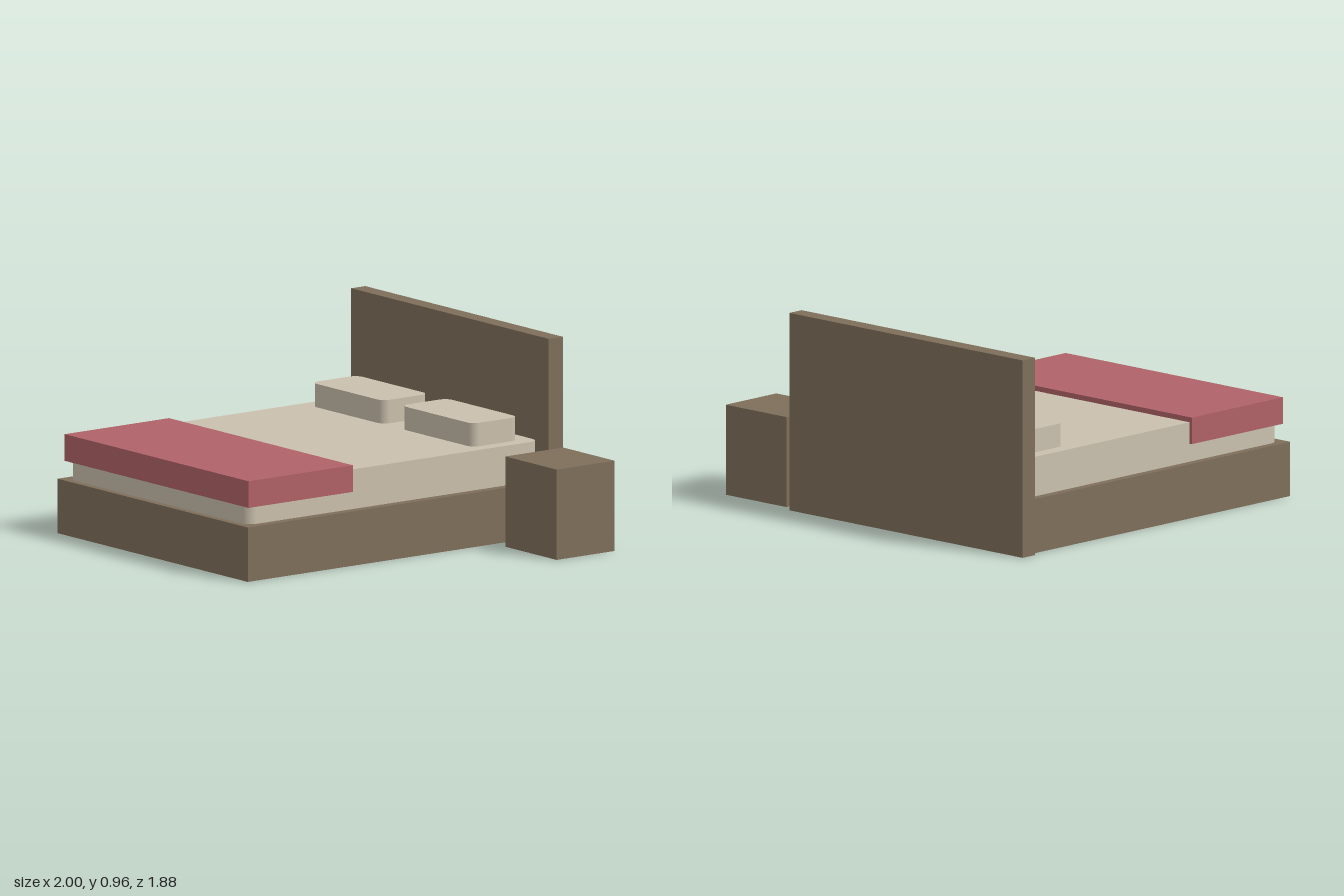
import * as THREE from 'three';

const wood = new THREE.MeshStandardMaterial({ name: 'brown wood', color: 0x7f6f5b });
const linen = new THREE.MeshStandardMaterial({ name: 'cream linen', color: 0xcac0ad });
const wool = new THREE.MeshStandardMaterial({ name: 'dusty red wool', color: 0xb06268 });

// Box given by its limits on each axis
function block(name, material, [x0, x1], [y0, y1], [z0, z1]) {
  const mesh = new THREE.Mesh(new THREE.BoxGeometry(x1 - x0, y1 - y0, z1 - z0), material);
  mesh.position.set((x0 + x1) / 2, (y0 + y1) / 2, (z0 + z1) / 2);
  mesh.name = name;
  return mesh;
}

// Upright slab with rounded vertical corners
function roundedSlab(name, material, [x0, x1], [y0, y1], [z0, z1], r) {
  const w = (x1 - x0) / 2, d = (z1 - z0) / 2;
  const shape = new THREE.Shape();
  shape.absarc(w - r, d - r, r, 0, Math.PI / 2);
  shape.absarc(-w + r, d - r, r, Math.PI / 2, Math.PI);
  shape.absarc(-w + r, -d + r, r, Math.PI, Math.PI * 1.5);
  shape.absarc(w - r, -d + r, r, Math.PI * 1.5, Math.PI * 2);
  const geometry = new THREE.ExtrudeGeometry(shape, { depth: y1 - y0, bevelEnabled: false, curveSegments: 6 });
  geometry.rotateX(-Math.PI / 2);
  const mesh = new THREE.Mesh(geometry, material);
  mesh.position.set((x0 + x1) / 2, y0, (z0 + z1) / 2);
  mesh.name = name;
  return mesh;
}

export function createModel() {
  const model = new THREE.Group();
  model.name = 'bedWithNightstand';

  // Wooden frame, headboard and nightstand
  model.add(
    block('bedBase', wood, [-0.97, 0.515], [0, 0.265], [-0.858, 0.94]),
    block('headboard', wood, [-1, 0.54], [0, 0.965], [-0.943, -0.858]),
    block('nightstand', wood, [0.6, 1], [0, 0.44], [-0.9, -0.55])
  );

  // Bedding
  model.add(
    roundedSlab('mattress', linen, [-0.93, 0.47], [0.265, 0.458], [-0.857, 0.905], 0.055),
    block('blanket', wool, [-0.945, 0.488], [0.353, 0.483], [0.285, 0.915])
  );
  for (const [name, x] of [['rightPillow', -0.58], ['leftPillow', 0.12]]) {
    model.add(roundedSlab(name, linen, [x - 0.28, x + 0.28], [0.458, 0.572], [-0.785, -0.507], 0.045));
  }
  return model;
}
